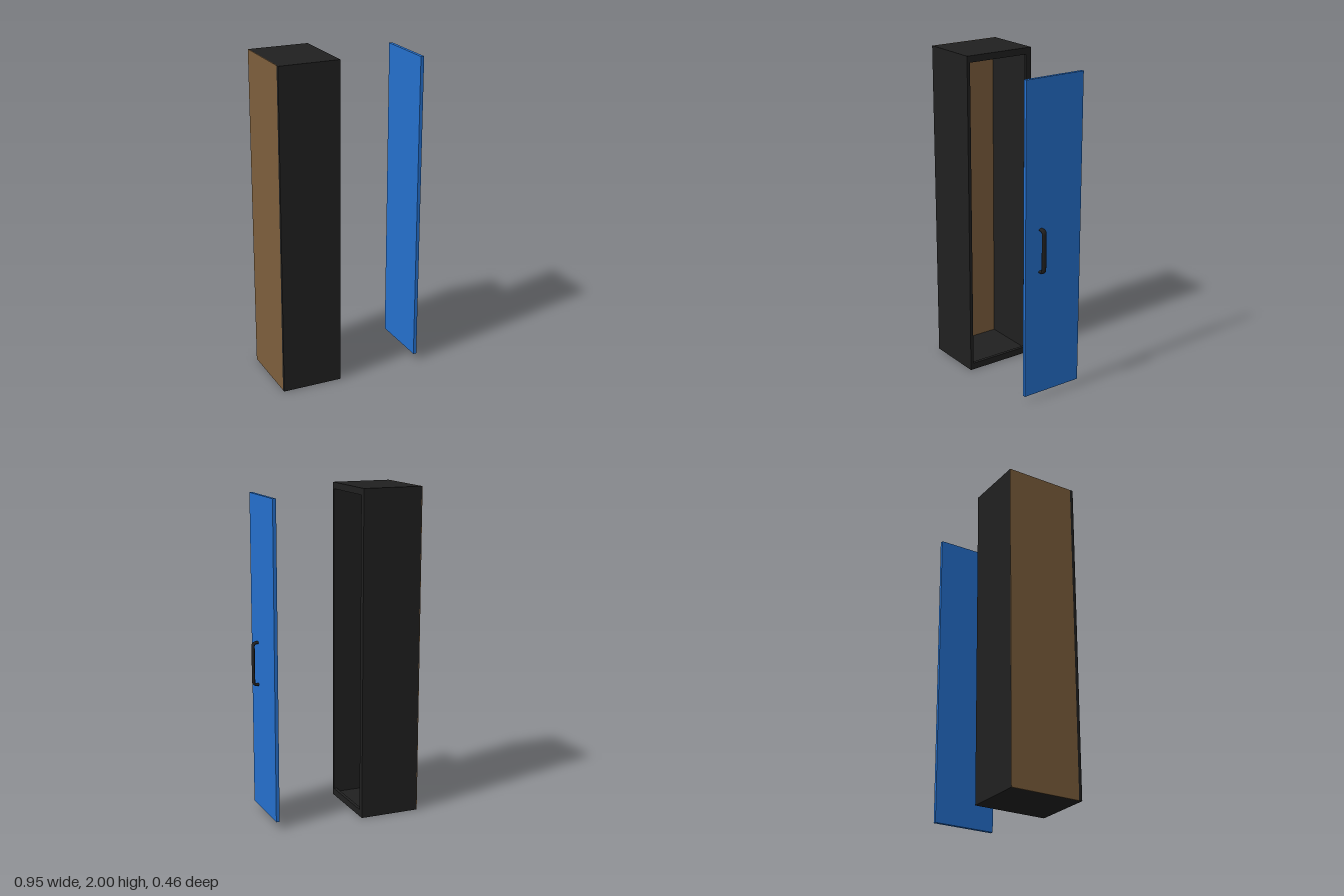
import * as THREE from 'three';

const black = new THREE.MeshStandardMaterial({ color: 0x202020 });
const blue = new THREE.MeshStandardMaterial({ color: 0x2570cd });
const brown = new THREE.MeshStandardMaterial({ color: 0x7d5f3d });

// Box given by its low and high limits on each axis
function slab(name, material, [x0, x1], [y0, y1], [z0, z1]) {
  const mesh = new THREE.Mesh(new THREE.BoxGeometry(x1 - x0, y1 - y0, z1 - z0), material);
  mesh.position.set((x0 + x1) / 2, (y0 + y1) / 2, (z0 + z1) / 2);
  mesh.name = name;
  return mesh;
}

// Bent bar handle: straight legs and grip joined by rounded corners, wider than deep
function makeHandle() {
  const v = (x, y) => new THREE.Vector3(x, y, 0);
  const root = 0.435, out = 0.468, low = 0.821, high = 1.079, bend = 0.022;
  const path = new THREE.CurvePath();
  path.add(new THREE.LineCurve3(v(root, low), v(out - bend, low)));
  path.add(new THREE.QuadraticBezierCurve3(v(out - bend, low), v(out, low), v(out, low + bend)));
  path.add(new THREE.LineCurve3(v(out, low + bend), v(out, high - bend)));
  path.add(new THREE.QuadraticBezierCurve3(v(out, high - bend), v(out, high), v(out - bend, high)));
  path.add(new THREE.LineCurve3(v(out - bend, high), v(root, high)));
  const geometry = new THREE.TubeGeometry(path, 96, 0.009, 16);
  geometry.scale(1, 1, 1.7);
  geometry.computeVertexNormals();
  const mesh = new THREE.Mesh(geometry, black);
  mesh.position.z = 0.096;
  mesh.name = 'handle';
  return mesh;
}

export function createModel() {
  const model = new THREE.Group();
  const back = -0.477, front = -0.103, half = 0.228, wall = 0.02;
  const lip = front - 0.02;

  // Carcass, open towards +x
  const cabinet = new THREE.Group();
  cabinet.name = 'cabinet';
  cabinet.add(
    slab('leftSide', black, [back, front], [0, 2], [half - wall, half]),
    slab('rightSide', black, [back + 0.004, front], [0, 2], [-half, -half + wall]),
    slab('topPanel', black, [back + 0.004, front], [2 - wall, 2], [-half + wall, half - wall]),
    slab('bottomPanel', black, [back + 0.004, front], [0, wall], [-half + wall, half - wall]),
    slab('backPanel', brown, [back, back + 0.004], [0, 2], [-half, half - wall])
  );

  // Rim around the opening, with a strip behind its top rail
  cabinet.add(
    slab('hingeRail', black, [lip, front], [wall, 2 - wall], [-half + wall, -0.192]),
    slab('topRail', black, [lip, front], [1.96, 2 - wall], [-0.192, half - wall]),
    slab('bottomRail', black, [lip, front], [wall, 0.042], [-0.192, half - wall]),
    slab('topStrip', blue, [lip - 0.02, lip], [1.962, 2 - wall], [-half + wall, half - wall])
  );

  // Door standing apart from the opening
  const door = new THREE.Group();
  door.name = 'door';
  door.add(slab('doorPanel', blue, [0.417, 0.438], [0.043, 1.96], [-0.191, 0.205]), makeHandle());

  model.add(cabinet, door);
  return model;
}
